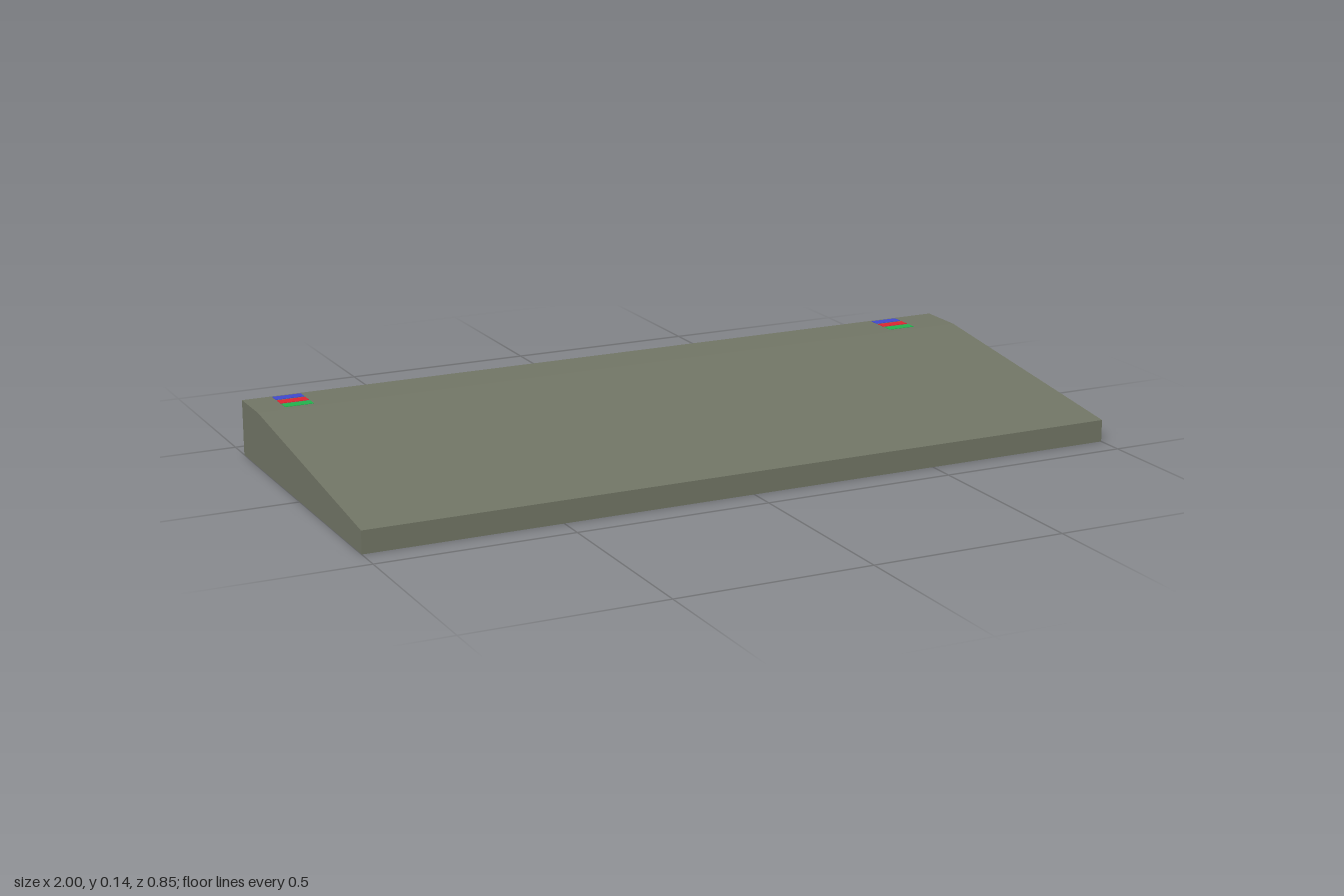
import * as THREE from 'three';

const mat = (name, color) => {
  const m = new THREE.MeshStandardMaterial({ color });
  m.name = name;
  return m;
};

export function createModel() {
  const model = new THREE.Group();
  model.name = 'wedgeRamp';
  const body = mat('oliveGrey', 0x707464);
  const bands = [
    ['blue', mat('blue', 0x3f48cc), -0.405],
    ['red', mat('red', 0xdc2430), -0.369],
    ['green', mat('green', 0x22b14c), -0.333],
  ];
  const HALF = 0.427, TOP = 0.143;

  // Sloped body: side profile (z, y) extruded across the width
  const profile = new THREE.Shape([
    [-HALF, 0], [HALF, 0], [HALF, 0.057], [-0.3, TOP], [-HALF, TOP],
  ].map(([z, y]) => new THREE.Vector2(z, y)));
  const geo = new THREE.ExtrudeGeometry(profile, { depth: 2, bevelEnabled: false });
  geo.translate(0, 0, -1).rotateY(-Math.PI / 2);
  const ramp = new THREE.Mesh(geo, body);
  ramp.name = 'rampBody';
  model.add(ramp);

  // Two sets of coloured marks on the flat rear ledge
  for (const [side, x] of [['right', -0.886], ['left', 0.847]]) {
    const marks = new THREE.Group();
    marks.name = side + 'Marks';
    for (const [name, material, z] of bands) {
      const mark = new THREE.Mesh(new THREE.BoxGeometry(0.075, 0.002, 0.029), material);
      mark.name = name + 'Mark';
      mark.position.set(x, TOP, z);
      marks.add(mark);
    }
    model.add(marks);
  }
  return model;
}
